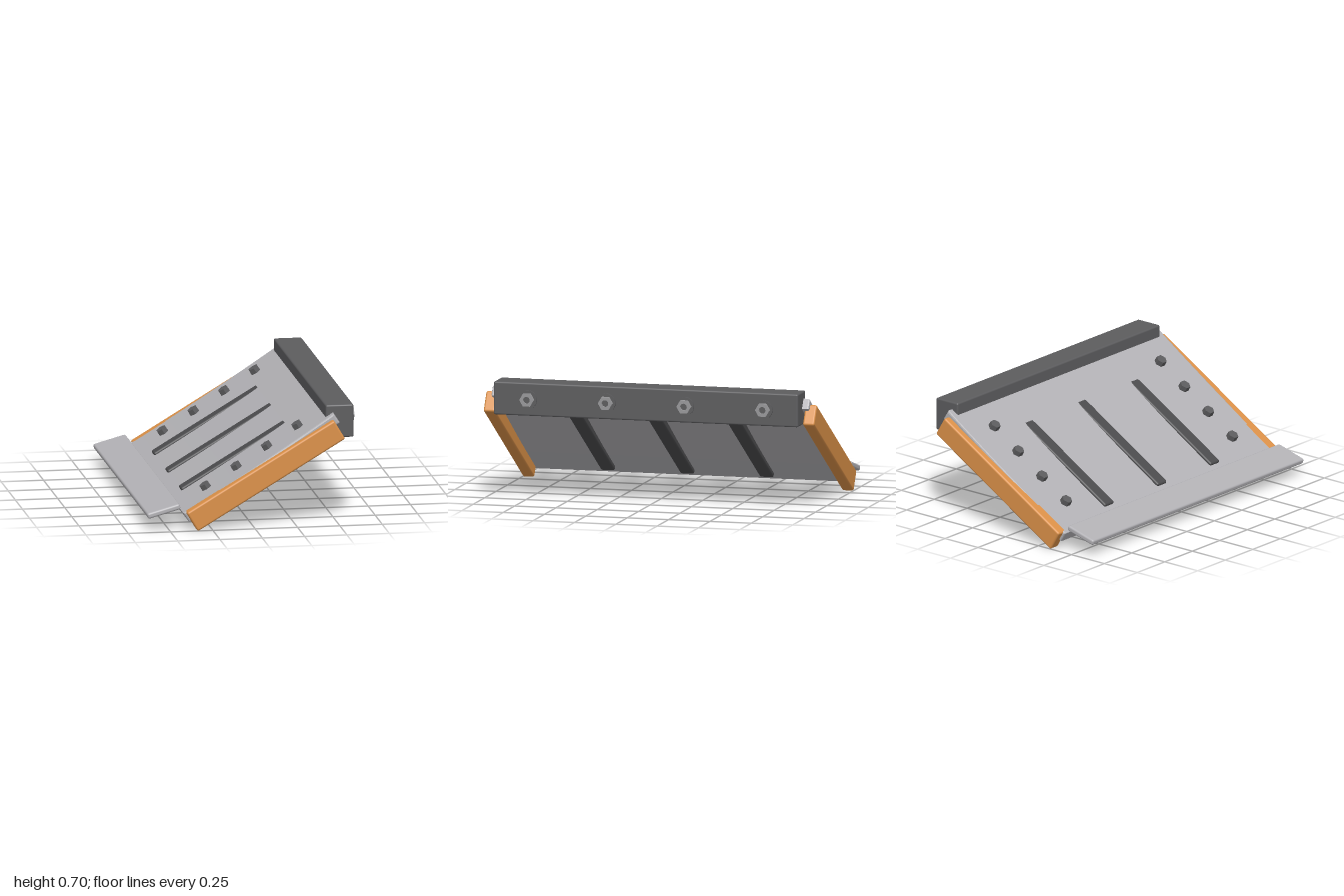
import * as THREE from 'three';
import { RoundedBoxGeometry } from 'three/addons/geometries/RoundedBoxGeometry.js';

export function createModel() {
  const group = new THREE.Group();
  const material = (name, color) => new THREE.MeshStandardMaterial({ name, color });
  const orange = material('orange paint', 0xda9048);
  const steel = material('light steel', 0xb2b1b5);
  const darkSteel = material('dark steel', 0x5c5c5e);
  const ribSteel = material('rib steel', 0x4b4b4d);
  const nutSteel = material('nut steel', 0x98989a);

  const add = (name, geometry, mat, x, y, z, tilt = 0) => {
    const mesh = new THREE.Mesh(geometry, mat);
    mesh.name = name;
    mesh.position.set(x, y, z);
    mesh.rotation.z = tilt;
    group.add(mesh);
    return mesh;
  };
  const box = (w, h, d, r) => new RoundedBoxGeometry(w, h, d, 3, r);
  const deg = Math.PI / 180;

  // Slightly dished sloping plate, extruded across its width
  const a = new THREE.Vector2(-0.417, 0.105);
  const b = new THREE.Vector2(0.472, 0.667);
  const down = new THREE.Vector2(b.y - a.y, a.x - b.x).normalize();
  const sag = (t, depth) =>
    a.clone().lerp(b, t).addScaledVector(down, depth + 0.032 * t * (1 - t));
  const steps = 12;
  const profile = [];
  for (let i = 0; i <= steps; i++) profile.push(sag(i / steps, 0.066));
  for (let i = steps; i >= 0; i--) profile.push(sag(i / steps, 0));
  const plate = new THREE.ExtrudeGeometry(new THREE.Shape(profile), {
    depth: 1.9, bevelEnabled: true, bevelThickness: 0.01, bevelSize: 0.01,
    bevelOffset: -0.01, bevelSegments: 2,
  });
  add('slopingPlate', plate, steel, 0, 0, -0.95);

  // Side rails
  for (const s of [-1, 1]) {
    add('sideRail', box(1.015, 0.13, 0.07, 0.012), orange, 0.064, 0.3175, s * 0.965, 30.9 * deg);
  }

  // Ribs passing through the plate
  const ribTilt = 30.8 * deg;
  const ribLength = 0.92, ribDepth = 0.105;
  const ribX = -0.362 + Math.cos(ribTilt) * ribLength / 2 + Math.sin(ribTilt) * ribDepth / 2;
  const ribY = 0.155 + Math.sin(ribTilt) * ribLength / 2 - Math.cos(ribTilt) * ribDepth / 2;
  for (const z of [-0.482, -0.002, 0.478]) {
    add('rib', box(ribLength, ribDepth, 0.085, 0.012), ribSteel, ribX, ribY, z, ribTilt);
  }

  // Hexagonal bolt heads along both sides of the plate
  const head = new THREE.CylinderGeometry(0.032, 0.034, 0.05, 6).toNonIndexed();
  head.computeVertexNormals();
  const plateTilt = Math.atan2(b.y - a.y, b.x - a.x);
  for (const s of [-1, 1]) {
    for (let i = 0; i < 4; i++) {
      const t = (-0.25 + i * 0.181 - a.x) / (b.x - a.x);
      const p = sag(t, -0.007);
      add('plateBolt', head, darkSteel, p.x, p.y, s * 0.755, plateTilt);
    }
  }

  // Rear beam
  add('rearBeam', box(0.165, 0.195, 1.84, 0.01), darkSteel, 0.5125, 0.6125, 0);

  // Washers, open hex nuts and studs on the beam
  const washer = new THREE.CylinderGeometry(0.056, 0.056, 0.012, 24);
  const hex = new THREE.Shape();
  for (let i = 0; i < 6; i++) {
    const ang = i * 60 * deg;
    hex[i ? 'lineTo' : 'moveTo'](0.043 * Math.cos(ang), 0.043 * Math.sin(ang));
  }
  hex.closePath();
  hex.holes.push(new THREE.Path().absarc(0, 0, 0.02, 0, Math.PI * 2, true));
  const nut = new THREE.ExtrudeGeometry(hex, { depth: 0.024, bevelEnabled: false, curveSegments: 16 });
  nut.rotateY(Math.PI / 2);
  const stud = new THREE.CylinderGeometry(0.02, 0.02, 0.014, 16);
  for (let i = 0; i < 4; i++) {
    const z = -0.712 + i * 0.475;
    add('washer', washer, darkSteel, 0.599, 0.612, z, -Math.PI / 2);
    add('nut', nut, nutSteel, 0.603, 0.612, z);
    add('stud', stud, darkSteel, 0.609, 0.612, z, -Math.PI / 2);
  }

  // Front lip with small pads beneath it
  const lipTilt = 15.5 * deg;
  add('frontLip', box(0.2, 0.034, 1.92, 0.012), steel, -0.532, 0.119, 0, lipTilt);
  for (const z of [-0.39, 0, 0.39]) {
    add('lipPad', box(0.05, 0.022, 0.13, 0.005), ribSteel, -0.585, 0.089, z, lipTilt);
  }

  return group;
}
